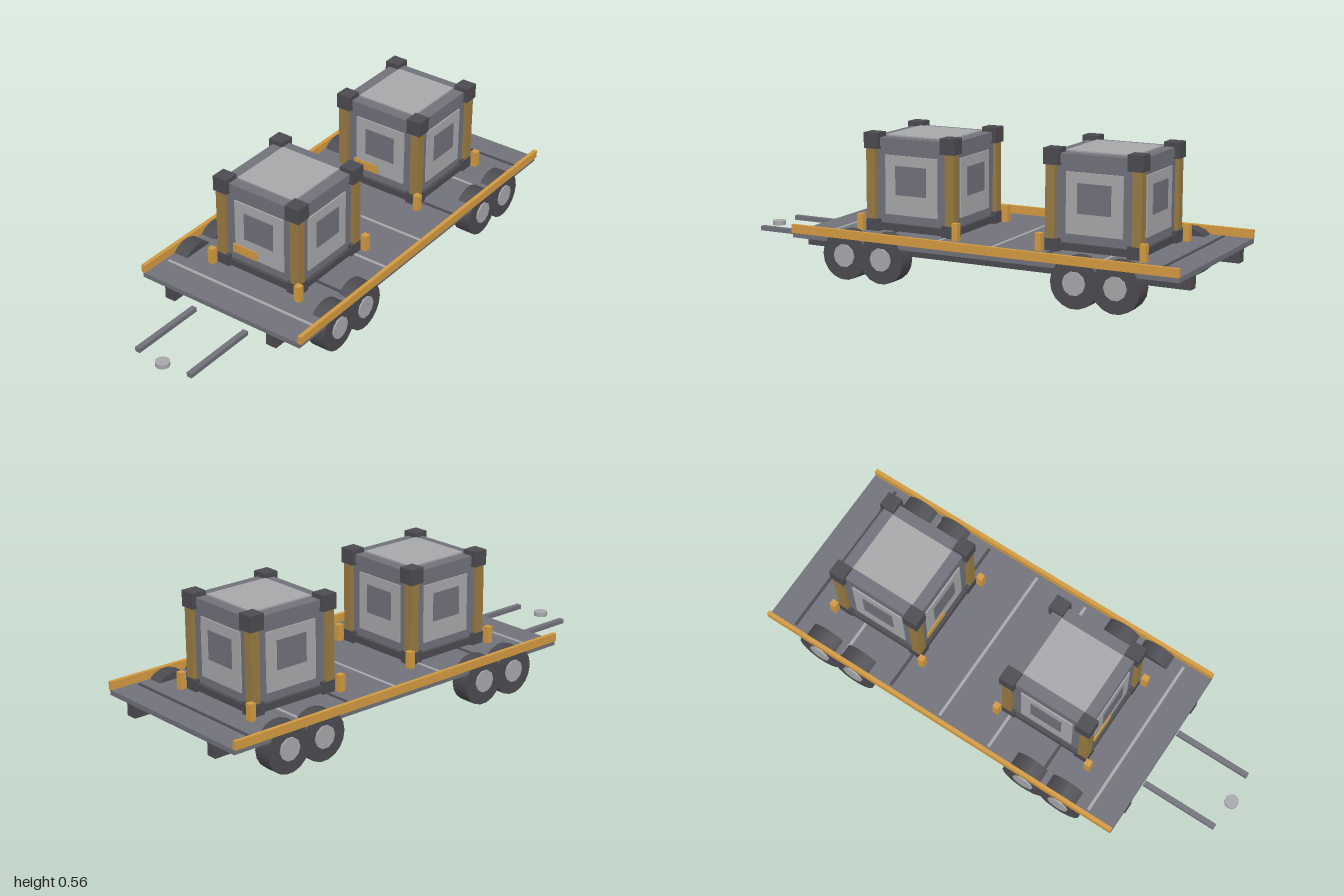
import * as THREE from 'three';

const mat = (name, color) => {
  const m = new THREE.MeshStandardMaterial({ color });
  m.name = name;
  return m;
};

export function createModel() {
  const dark = mat('dark grey', 0x4b4b50);
  const mid = mat('mid grey', 0x70717a);
  const light = mat('light grey', 0xa6a7aa);
  const orange = mat('orange', 0xd29a40);
  const bronze = mat('bronze', 0x987a42);

  const root = new THREE.Group();
  root.name = 'cargoTrailer';

  // Box from its extents along x, y and z
  const box = (parent, name, m, x0, x1, y0, y1, z0, z1) => {
    const b = new THREE.Mesh(new THREE.BoxGeometry(x1 - x0, y1 - y0, z1 - z0), m);
    b.position.set((x0 + x1) / 2, (y0 + y1) / 2, (z0 + z1) / 2);
    b.name = name;
    parent.add(b);
    return b;
  };
  // Box from its centre and size
  const block = (parent, name, m, x, y, z, w, h, d) =>
    box(parent, name, m, x - w / 2, x + w / 2, y - h / 2, y + h / 2, z - d / 2, z + d / 2);

  // Flatbed with plank seams
  box(root, 'deck', mid, -0.38, 0.38, 0.145, 0.165, -1, 0.645);
  const darkSeams = [0, 2, 5];
  for (let i = 0; i < 7; i++) {
    const m = darkSeams.includes(i) ? dark : light;
    block(root, 'deckSeam', m, 0, 0.166, -0.885 + i * 0.235, 0.71, 0.004, 0.012);
  }

  // Side rails, chassis beams and drawbars
  for (const s of [-1, 1]) {
    block(root, 'sideRail', orange, s * 0.38, 0.1815, -0.1775, 0.016, 0.034, 1.645);
    block(root, 'chassisBeam', dark, s * 0.247, 0.12, -0.1775, 0.046, 0.05, 1.645);
    block(root, 'drawbar', mid, s * 0.125, 0.105, 0.807, 0.022, 0.019, 0.325);
  }
  for (const z of [0.33, -0.13, -0.6]) {
    block(root, 'crossMember', dark, 0, 0.112, z, 0.51, 0.033, 0.045);
  }
  const hitch = new THREE.Mesh(new THREE.CylinderGeometry(0.028, 0.028, 0.018, 16), light);
  hitch.position.set(0, 0.105, 0.972);
  hitch.name = 'hitchDisc';
  root.add(hitch);

  // Twin axle wheels
  const tyreGeo = new THREE.CylinderGeometry(0.0975, 0.0975, 0.075, 18).rotateZ(Math.PI / 2);
  const hubGeo = new THREE.CylinderGeometry(0.046, 0.046, 0.012, 10).rotateZ(Math.PI / 2);
  for (const z of [0.402, 0.237, -0.588, -0.753]) {
    for (const s of [-1, 1]) {
      const wheel = new THREE.Group();
      wheel.name = 'wheel';
      wheel.position.set(s * 0.345, 0.0975, z);
      const tyre = new THREE.Mesh(tyreGeo, dark);
      tyre.name = 'tyre';
      const hub = new THREE.Mesh(hubGeo, light);
      hub.name = 'hub';
      hub.position.x = s * 0.038;
      wheel.add(tyre, hub);
      root.add(wheel);
    }
  }

  // Armoured cargo crate, built around its own centre line
  const makeCrate = (z) => {
    const crate = new THREE.Group();
    crate.name = 'crate';
    crate.position.z = z;
    box(crate, 'body', mid, -0.18, 0.18, 0.17, 0.54, -0.18, 0.18);
    box(crate, 'lidPanel', light, -0.135, 0.135, 0.54, 0.546, -0.14, 0.14);

    // Corner posts, caps, feet and deck brackets
    for (const x of [-1, 1]) {
      for (const d of [-1, 1]) {
        block(crate, 'cornerPost', bronze, x * 0.178, 0.352, d * 0.178, 0.039, 0.3, 0.039);
        block(crate, 'cornerCap', dark, x * 0.172, 0.527, d * 0.172, 0.064, 0.063, 0.064);
        block(crate, 'cornerFoot', dark, x * 0.17, 0.189, d * 0.17, 0.058, 0.048, 0.058);
        block(crate, 'deckBracket', orange, x * 0.211, 0.199, d * 0.215, 0.026, 0.068, 0.026);
      }
    }

    // The same panelling on all four sides
    for (let i = 0; i < 4; i++) {
      const side = new THREE.Group();
      side.name = 'crateSide';
      side.rotation.y = i * Math.PI / 2;
      block(side, 'upperBeam', mid, 0, 0.522, 0.182, 0.28, 0.035, 0.008);
      block(side, 'lowerBeam', dark, 0, 0.186, 0.185, 0.28, 0.028, 0.02);
      block(side, 'sidePanel', light, 0, 0.354, 0.182, 0.234, 0.237, 0.008);
      block(side, 'panelCentre', mid, 0, 0.374, 0.187, 0.138, 0.116, 0.006);
      if (i === 0) block(side, 'labelPlate', orange, -0.068, 0.256, 0.187, 0.117, 0.038, 0.006);
      crate.add(side);
    }
    root.add(crate);
  };
  makeCrate(0.215);
  makeCrate(-0.575);

  return root;
}
